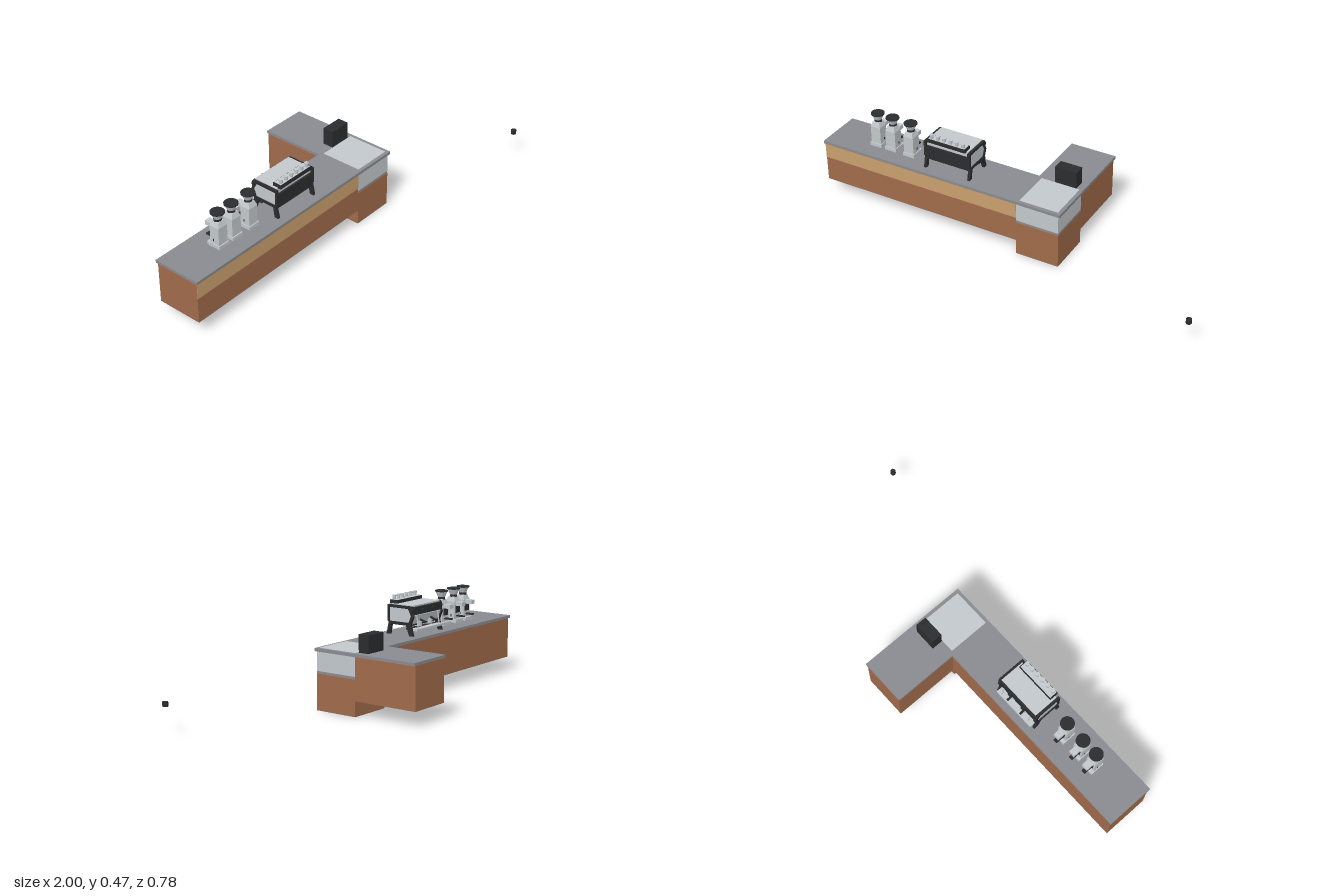
import * as THREE from 'three';

const mat = (name, color, flatShading = false) => {
  const m = new THREE.MeshStandardMaterial({ color });
  m.name = name;
  m.flatShading = flatShading;
  return m;
};

export function createModel() {
  const wood = mat('brown wood', 0xa06a4a);
  const tan = mat('tan wood', 0xc99f6e);
  const stone = mat('grey worktop', 0x888b90);
  const steel = mat('light steel', 0xc2c8cc);
  const black = mat('black plastic', 0x2b2c2d);
  const root = new THREE.Group();
  root.name = 'coffeeBar';

  const add = (parent, name, geometry, material) => {
    const mesh = new THREE.Mesh(geometry, material);
    mesh.name = name;
    parent.add(mesh);
    return mesh;
  };
  // Box given by its minimum and maximum on each axis
  const box = (parent, name, material, x0, x1, y0, y1, z0, z1) => {
    const mesh = add(parent, name, new THREE.BoxGeometry(x1 - x0, y1 - y0, z1 - z0), material);
    mesh.position.set((x0 + x1) / 2, (y0 + y1) / 2, (z0 + z1) / 2);
    return mesh;
  };
  const cyl = (parent, name, material, rTop, rBottom, y0, y1, x, z, sides = 20) => {
    const mesh = add(parent, name, new THREE.CylinderGeometry(rTop, rBottom, y1 - y0, sides), material);
    mesh.position.set(x, (y0 + y1) / 2, z);
    return mesh;
  };
  const shapeOf = (points) => new THREE.Shape(points.map(([a, b]) => new THREE.Vector2(a, b)));
  // Side profile in (z, y), centred on x with the given thickness
  const profile = (parent, name, material, shape, x, width) => {
    const g = new THREE.ExtrudeGeometry(shape, { depth: width, bevelEnabled: false });
    g.translate(0, 0, -width / 2);
    g.rotateY(-Math.PI / 2);
    const mesh = add(parent, name, g, material);
    mesh.position.x = x;
    return mesh;
  };

  // Counter bodies
  box(root, 'longCounter', wood, -0.995, 0.043, 0.072, 0.274, -0.065, 0.157);
  box(root, 'frontStripe', tan, -0.995, 0.043, 0.196, 0.274, 0.157, 0.159);
  box(root, 'cornerPedestal', wood, 0.043, 0.258, 0, 0.17, -0.06, 0.158);
  box(root, 'backCounter', wood, 0.043, 0.258, 0.072, 0.274, -0.387, -0.06);

  // Display case in the corner
  box(root, 'displayLedge', stone, 0.043, 0.258, 0.17, 0.182, -0.06, 0.157);
  box(root, 'displayCase', steel, 0.044, 0.257, 0.182, 0.274, -0.06, 0.158);

  // L-shaped worktop
  const top = new THREE.ExtrudeGeometry(
    shapeOf([[-1, -0.164], [0.267, -0.164], [0.267, 0.389], [0.037, 0.389], [0.037, 0.072], [-1, 0.072]]),
    { depth: 0.014, bevelEnabled: false });
  top.rotateX(-Math.PI / 2);
  add(root, 'worktop', top, stone).position.y = 0.273;
  box(root, 'displayTopPane', steel, 0.056, 0.25, 0.285, 0.2885, -0.058, 0.148);

  // Till and the small separate cup
  box(root, 'till', black, 0.122, 0.232, 0.287, 0.37, -0.115, -0.061);
  cyl(root, 'looseCup', black, 0.013, 0.013, 0.125, 0.146, 0.985, 0.377, 12);

  // Grinders, working side towards the back
  for (const x of [-0.755, -0.673, -0.572]) {
    const g = new THREE.Group();
    g.name = 'grinder';
    g.position.set(x, 0, x > -0.6 ? 0.002 : 0);
    root.add(g);
    box(g, 'grinderBase', steel, -0.03, 0.03, 0.287, 0.304, 0.015, 0.085);
    box(g, 'grinderBody', steel, -0.026, 0.026, 0.304, 0.39, 0.03, 0.08);
    const shoulder = new THREE.CylinderGeometry(0.017 * Math.SQRT2, 0.026 * Math.SQRT2, 0.024, 4);
    shoulder.rotateY(Math.PI / 4);
    add(g, 'grinderShoulder', shoulder.toNonIndexed(), steel).position.set(0, 0.402, 0.055);
    g.children.at(-1).geometry.computeVertexNormals();
    cyl(g, 'grinderCollar', black, 0.018, 0.018, 0.412, 0.424, 0, 0.053);
    cyl(g, 'hopper', steel, 0.029, 0.018, 0.424, 0.45, 0, 0.053);
    cyl(g, 'hopperLid', black, 0.032, 0.032, 0.45, 0.456, 0, 0.053);
    box(g, 'controlPanel', black, -0.017, 0.017, 0.335, 0.37, 0.026, 0.03);
    box(g, 'grinderSpout', steel, -0.015, 0.015, 0.37, 0.39, -0.008, 0.03);
    box(g, 'grinderFork', black, -0.01, 0.01, 0.316, 0.322, -0.01, 0.03);
    for (const s of [-1, 1]) {
      box(g, 'sideButton', black, s * 0.0265 - 0.001, s * 0.0265 + 0.001, 0.317, 0.328, 0.047, 0.052);
    }
  }

  // Espresso machine
  const m = new THREE.Group();
  m.name = 'espressoMachine';
  m.position.x = -0.34;
  root.add(m);
  const inner = [[0.107, 0.415], [0.0, 0.415], [-0.017, 0.382], [-0.003, 0.349], [0.107, 0.349]];
  for (const s of [-1, 1]) {
    // Side frame with two splayed legs and an opening for the steel panel
    const frame = shapeOf([[0.118, 0.427], [-0.02, 0.427], [-0.028, 0.41], [-0.023, 0.395], [-0.03, 0.378],
      [-0.014, 0.338], [-0.03, 0.287], [-0.008, 0.287], [0.012, 0.336], [0.095, 0.336], [0.103, 0.287],
      [0.124, 0.287], [0.112, 0.345], [0.118, 0.35]]);
    frame.holes.push(new THREE.Path(inner.map(([a, b]) => new THREE.Vector2(a, b))));
    profile(m, 'sideFrame', black, frame, s * 0.116, 0.012);
    profile(m, 'sidePanel', steel, shapeOf(inner), s * 0.114, 0.006);
  }
  profile(m, 'machineBody', steel, shapeOf([[0.106, 0.424], [-0.012, 0.424], [-0.024, 0.382],
    [-0.008, 0.34], [0.106, 0.34]]), 0, 0.222);
  box(m, 'frontPanel', black, -0.112, 0.112, 0.334, 0.402, 0.104, 0.115);
  box(m, 'machineUnderside', black, -0.112, 0.112, 0.333, 0.341, -0.008, 0.106);
  box(m, 'topPlate', steel, -0.11, 0.11, 0.424, 0.43, -0.018, 0.106);
  box(m, 'cupRail', black, -0.1, 0.1, 0.427, 0.446, 0.078, 0.121);
  box(m, 'railTray', steel, -0.096, 0.096, 0.445, 0.447, 0.08, 0.119);
  for (let i = 0; i < 6; i++) {
    cyl(m, 'cup', steel, 0.01, 0.008, 0.446, 0.467, -0.083 + i * 0.0332, 0.108, 14);
  }
  box(m, 'dripTray', steel, -0.11, 0.11, 0.312, 0.322, -0.044, -0.012);
  box(m, 'trayBrace', black, -0.11, 0.11, 0.315, 0.321, -0.014, 0.018);
  box(m, 'backPanel', black, -0.11, 0.11, 0.386, 0.422, -0.026, -0.012);

  // Brewing heads, handles and knobs on the working side
  for (const x of [-0.042, 0.042]) {
    cyl(m, 'brewHead', steel, 0.018, 0.018, 0.326, 0.352, x, -0.002);
    const handle = cyl(m, 'brewHandle', black, 0.005, 0.005, 0.336, 0.37, x, -0.028, 10);
    handle.rotation.x = 1.25;
    const knob = cyl(m, 'knob', black, 0.009, 0.009, 0.396, 0.414, x, -0.027, 14);
    knob.rotation.x = Math.PI / 2;
  }
  for (const x of [-0.085, 0.085]) {
    const wand = cyl(m, 'steamWand', steel, 0.003, 0.003, 0.322, 0.385, x, -0.029, 8);
    wand.rotation.x = 0.15;
  }
  return root;
}
